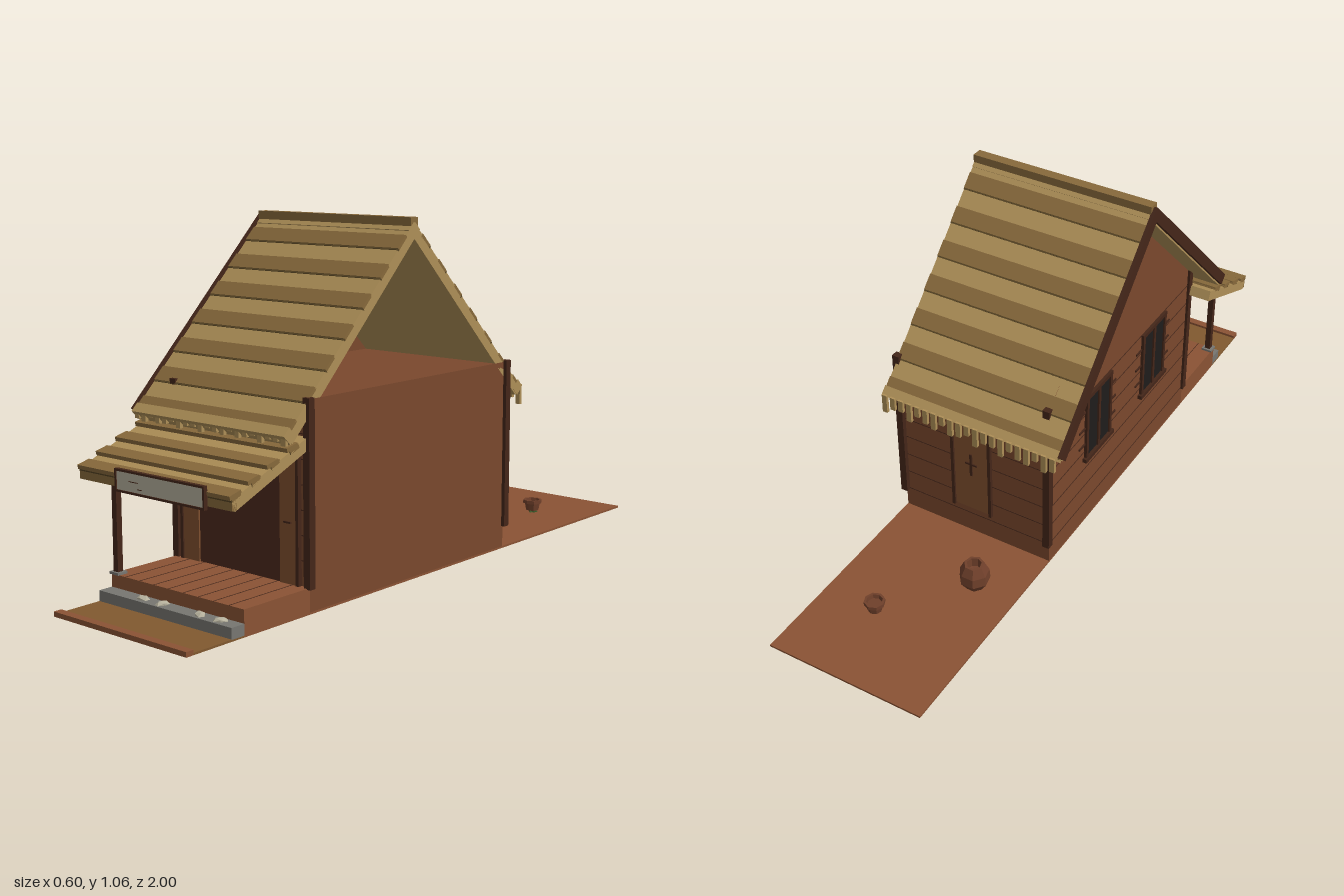
import * as THREE from 'three';

const mat = (color, extra = {}) => new THREE.MeshStandardMaterial({ color, flatShading: true, ...extra });
const M = {
  wall: mat(0x7a482d), gable: mat(0x7a482d, { side: THREE.DoubleSide }), floor: mat(0x8a5334), path: mat(0x81592f),
  panel: mat(0x80502f), door: mat(0x4c2a1d), trim: mat(0x442619), seam: mat(0x4a2a1c),
  straw: mat(0xae8f57), strawDark: mat(0x87693b), strawEdge: mat(0x574524),
  stone: mat(0x777671), pale: mat(0xb5b09c), glass: mat(0x1f1c1b),
  clay: mat(0x70402b), leaf: mat(0x3c5a2a),
};
const X0 = -0.215, X1 = 0.287, Y0 = 0.045, ZB = -0.32, ZF = 0.555, EAVE = 0.615;
const MID = (X0 + X1) / 2;

function add(parent, name, geo, material, x = 0, y = 0, z = 0) {
  const m = new THREE.Mesh(geo, material);
  m.name = name;
  m.position.set(x, y, z);
  parent.add(m);
  return m;
}
// box given by its limits
const box = (p, name, material, x0, x1, y0, y1, z0, z1) =>
  add(p, name, new THREE.BoxGeometry(x1 - x0, y1 - y0, z1 - z0), material, (x0 + x1) / 2, (y0 + y1) / 2, (z0 + z1) / 2);

function group(parent, name, x = 0, y = 0, z = 0) {
  const g = new THREE.Group();
  g.name = name;
  g.position.set(x, y, z);
  parent.add(g);
  return g;
}

// thatched slope: local +z runs down the slope, local y = 0 is its outer face
function slope(parent, name, y, z, angle, length, rows, back) {
  const turn = group(parent, name, 0, y, z);
  if (back) turn.rotation.y = Math.PI;
  const g = group(turn, name + 'Slope');
  g.rotation.x = angle;
  const a = back ? -0.287 : -0.29, b = back ? 0.29 : 0.287;
  box(g, 'thatchBase', M.straw, a, b, -0.035, -0.008, 0, length);
  const step = length / rows;
  for (let i = 0; i < rows; i++) {
    const s = i * step;
    box(g, 'lightThatch', M.straw, a, b, -0.012, -0.003, s, s + step * 0.53);
    box(g, 'darkThatch', M.strawDark, a, b, -0.012, 0.001, s + step * 0.5, s + step * 0.96);
    box(g, 'thatchShadow', M.strawEdge, a, b, -0.012, -0.001, s + step * 0.95, s + step);
  }
  return g;
}

// straw tufts hanging under an eave
function fringe(parent, name, y, z, drop) {
  const g = group(parent, name);
  for (let i = 0; i < 21; i++) {
    const x = -0.277 + i * 0.0277;
    const h = drop * (0.75 + 0.25 * Math.sin(i * 2.3));
    box(g, 'strawTuft', M.straw, x - 0.008, x + 0.008, y - h, y, z - 0.005, z + 0.005);
  }
}

function buildHouse(root) {
  const g = group(root, 'house');
  box(g, 'walls', M.wall, X0, X1, Y0, EAVE, ZB, ZF);

  // single gable wall on the right end
  const tri = new THREE.Shape([[ZB, EAVE], [ZF, EAVE], [0.12, 1.02]].map(p => new THREE.Vector2(-p[0], p[1])));
  add(g, 'gableWall', new THREE.ShapeGeometry(tri), M.gable, X0).rotation.y = Math.PI / 2;

  for (const z of [ZB - 0.004, ZF])
    for (const x of [-0.212, 0.287])
      box(g, 'cornerPost', M.trim, x - 0.011, x + 0.011, 0.11, 0.62, z - 0.011, z + 0.011);

  // plank seams
  for (let i = 1; i < 8; i++) {
    const y = Y0 + i * 0.068;
    box(g, 'sideSeam', M.seam, X0 - 0.001, X0, y, y + 0.003, ZB, ZF);
    box(g, 'backSeam', M.seam, X0, X1, y, y + 0.003, ZB - 0.001, ZB);
    if (y > 0.12) box(g, 'frontSeam', M.seam, X0, X1, y, y + 0.003, ZF, ZF + 0.001);
  }

  // shuttered windows on the right wall
  for (const z of [-0.04, 0.31]) {
    const w = group(g, 'window', X0, 0.405, z);
    box(w, 'pane', M.glass, -0.004, 0, -0.11, 0.11, -0.065, 0.065);
    for (const s of [-0.07, 0, 0.07]) box(w, 'upright', M.trim, -0.009, 0, -0.115, 0.115, s - 0.006, s + 0.006);
    box(w, 'lintel', M.trim, -0.009, 0, 0.105, 0.118, -0.078, 0.078);
    box(w, 'sill', M.trim, -0.014, 0, -0.12, -0.107, -0.085, 0.085);
    for (const s of [-1, 1]) for (const y of [-0.06, 0, 0.06])
      box(w, 'shortPlank', M.trim, -0.004, 0, y, y + 0.006, s * 0.09 - 0.02, s * 0.09 + 0.02);
  }

  // back door
  const d = group(g, 'backDoor', 0.045, 0, ZB);
  box(d, 'doorLeaf', M.panel, -0.06, 0.06, 0.14, 0.51, -0.005, 0);
  for (const s of [-1, 1]) box(d, 'doorJamb', M.trim, s * 0.063 - 0.005, s * 0.063 + 0.005, 0.135, 0.52, -0.011, 0);
  box(d, 'doorHead', M.trim, -0.068, 0.068, 0.51, 0.52, -0.011, 0);
  box(d, 'doorBar', M.trim, -0.02, 0.02, 0.31, 0.316, -0.009, 0);
  box(d, 'doorHandle', M.trim, -0.004, 0.004, 0.27, 0.35, -0.009, 0);

  // front doorway with its two panels
  box(g, 'doorway', M.door, -0.12, 0.19, 0.113, 0.47, ZF, ZF + 0.004);
  for (const x of [-0.149, 0.219]) {
    box(g, 'doorPanel', M.panel, x - 0.03, x + 0.03, 0.113, 0.47, ZF, ZF + 0.009);
    box(g, 'panelHandle', M.trim, x - 0.013, x + 0.013, 0.279, 0.284, ZF, ZF + 0.014);
  }
  for (const x of [-0.184, 0.254]) box(g, 'doorFrame', M.trim, x - 0.005, x + 0.005, 0.113, 0.48, ZF, ZF + 0.013);
}

function buildRoof(root) {
  const g = group(root, 'roof');
  for (const back of [false, true]) {
    const s = slope(g, back ? 'backRoof' : 'frontRoof', 1.054, 0.12, Math.PI / 4, 0.738, 7, back);
    // dark barge board on the right end
    const x = back ? 0.294 : -0.294;
    box(s, 'bargeBoard', M.trim, x - 0.006, x + 0.006, -0.03, 0.004, 0, 0.735);
    box(s, 'eaveRoll', M.straw, -0.288, 0.288, -0.03, 0.006, 0.715, 0.745);
  }
  box(g, 'ridgeCap', M.strawDark, -0.29, 0.287, 1.04, 1.064, 0.104, 0.136);
  fringe(g, 'frontFringe', 0.535, 0.637, 0.032);
  fringe(g, 'backFringe', 0.535, -0.409, 0.062);
}

function buildPorch(root) {
  const g = group(root, 'porch');
  box(g, 'porchFloor', M.floor, X0, X1, Y0, 0.113, ZF, 0.8);
  for (let i = 1; i < 9; i++) box(g, 'floorSeam', M.seam, X0 + i * 0.056, X0 + i * 0.056 + 0.002, 0.113, 0.114, ZF, 0.8);
  box(g, 'stoneStep', M.stone, X0, X1, Y0, 0.076, 0.8, 0.845);
  [-0.065, 0.01, 0.15, 0.225].forEach((x, i) => {
    const r = add(g, 'paleStone', new THREE.IcosahedronGeometry(0.022, 0), M.pale, x, 0.076, 0.822);
    r.scale.set(1, 0.5, 0.7);
    r.rotation.y = i * 1.3;
  });
  box(g, 'postFoot', M.stone, X0 - 0.003, -0.183, 0.113, 0.12, 0.772, 0.805);
  box(g, 'porchPost', M.trim, -0.209, -0.191, 0.113, 0.41, 0.78, 0.798);

  // lean-to roof with raised rows
  const s = slope(g, 'porchRoof', 0.52, 0.56, 0.4, 0.305, 4, false);
  for (const z of [0.07, 0.15, 0.225, 0.295]) {
    const slat = box(s, 'raisedRow', M.strawDark, -0.29, 0.287, -0.004, 0.008, z - 0.03, z + 0.012);
    slat.rotation.x = -0.15;
  }
  box(g, 'porchEave', M.strawDark, -0.29, 0.287, 0.372, 0.408, 0.82, 0.838);

  // blank framed board
  const b = group(g, 'signBoard', 0.0375, 0.395, 0.848);
  box(b, 'board', M.pale, -0.162, 0.162, -0.026, 0.026, -0.004, 0.003);
  for (const k of [-1, 1]) {
    box(b, 'boardRail', M.trim, -0.168, 0.168, k * 0.028 - 0.003, k * 0.028 + 0.003, -0.006, 0.006);
    box(b, 'boardStile', M.trim, k * 0.165 - 0.003, k * 0.165 + 0.003, -0.031, 0.031, -0.006, 0.006);
  }
  box(b, 'crack', M.trim, -0.115, -0.08, 0.001, 0.003, 0, 0.004);
  box(b, 'crack', M.trim, -0.082, -0.065, -0.016, -0.014, 0, 0.004);
}

function buildYard(root) {
  const g = group(root, 'yard');
  box(g, 'ground', M.floor, X0, X1, 0.04, Y0 + 0.001, -1, 0.8);
  box(g, 'frontPath', M.path, X0, X1, 0.04, Y0 + 0.001, 0.8, 0.985);
  box(g, 'pathEdge', M.floor, X0, X1, 0.04, 0.054, 0.975, 1);

  // faceted clay jar
  const jar = [[0, 0], [0.026, 0], [0.046, 0.03], [0.044, 0.06], [0.03, 0.088], [0.022, 0.088], [0.02, 0.06], [0, 0.055]];
  add(g, 'clayJar', new THREE.LatheGeometry(jar.map(p => new THREE.Vector2(...p)), 7), M.clay, -0.08, Y0, -0.515);

  // small planter with leaves drooping below its rim
  const p = group(g, 'planter', 0.11, Y0, -0.745);
  const tub = [[0, 0.008], [0.021, 0.008], [0.025, 0.032], [0.031, 0.032], [0.031, 0.043], [0.024, 0.043], [0.022, 0.03], [0, 0.03]];
  add(p, 'tub', new THREE.LatheGeometry(tub.map(q => new THREE.Vector2(...q)), 8), M.clay);
  for (let i = 0; i < 9; i++) {
    const pivot = group(p, 'leafPivot', 0, 0.016, 0);
    pivot.rotation.y = i * 2.4;
    const leaf = new THREE.ConeGeometry(0.006, 0.062, 4).translate(0, 0.031, 0);
    add(pivot, 'leaf', leaf, M.leaf).rotation.z = -Math.PI + 0.2 + (i % 3) * 0.25;
  }
}

export function createModel() {
  const root = new THREE.Group();
  root.name = 'cottage';
  buildYard(root);
  buildHouse(root);
  buildPorch(root);
  buildRoof(root);
  return root;
}
